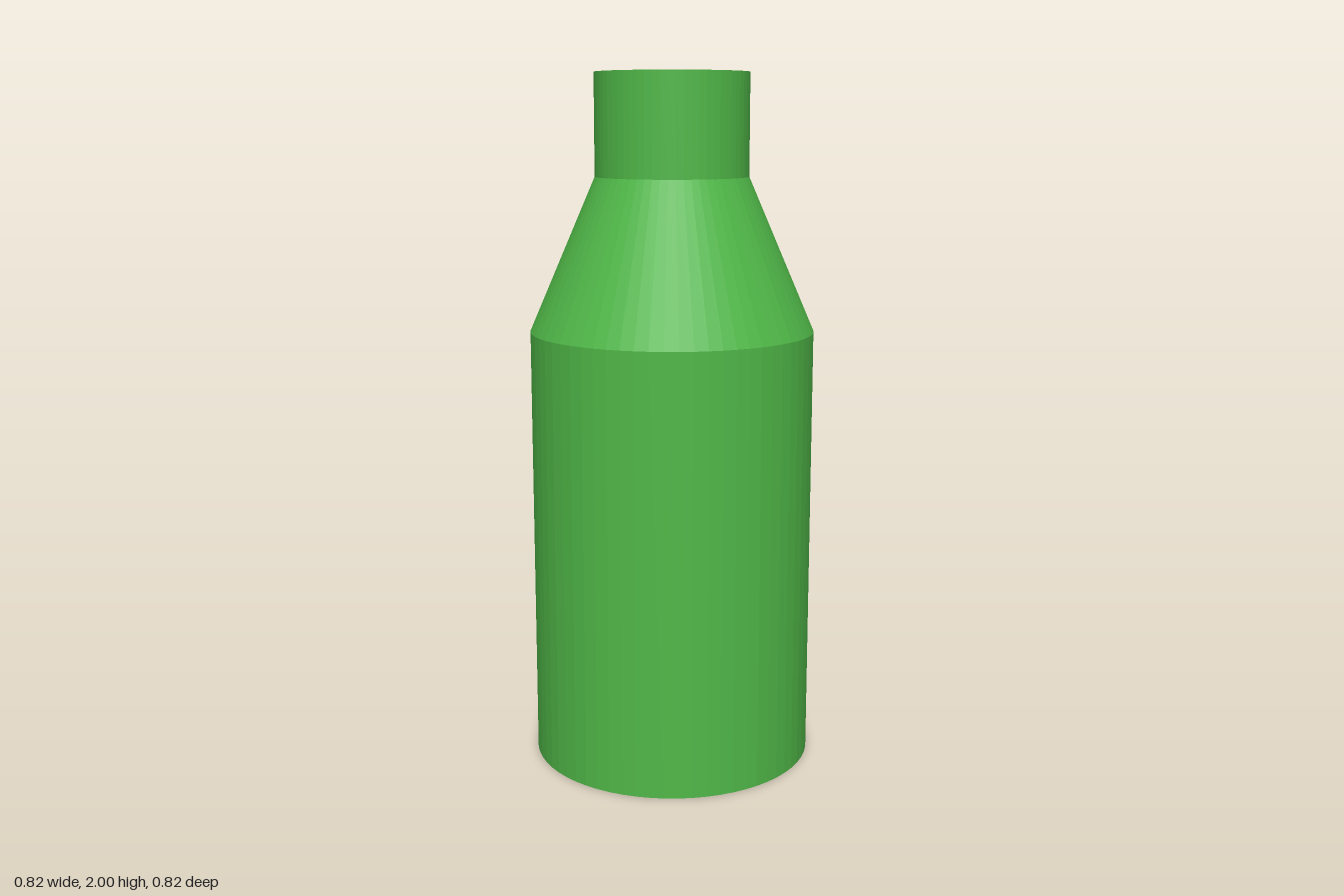
import * as THREE from 'three';

const SIDES = 64;
const green = new THREE.MeshStandardMaterial({ color: 0x50b848, flatShading: true });

// One turned section of the bottle, given as a closed or open profile [radius, height]
function section(name, profile) {
  const points = profile.map(([r, y]) => new THREE.Vector2(r, y));
  const mesh = new THREE.Mesh(new THREE.LatheGeometry(points, SIDES), green);
  mesh.name = name;
  return mesh;
}

export function createModel() {
  const bottle = new THREE.Group();
  bottle.name = 'bottle';
  bottle.add(
    // Straight body with a flat base
    section('body', [[0, 0], [0.41, 0], [0.41, 1.27]]),
    // Conical shoulder
    section('shoulder', [[0.41, 1.27], [0.22, 1.71]]),
    // Straight neck with a flat, closed top
    section('neck', [[0.22, 1.71], [0.22, 2], [0, 2]]),
  );
  return bottle;
}
